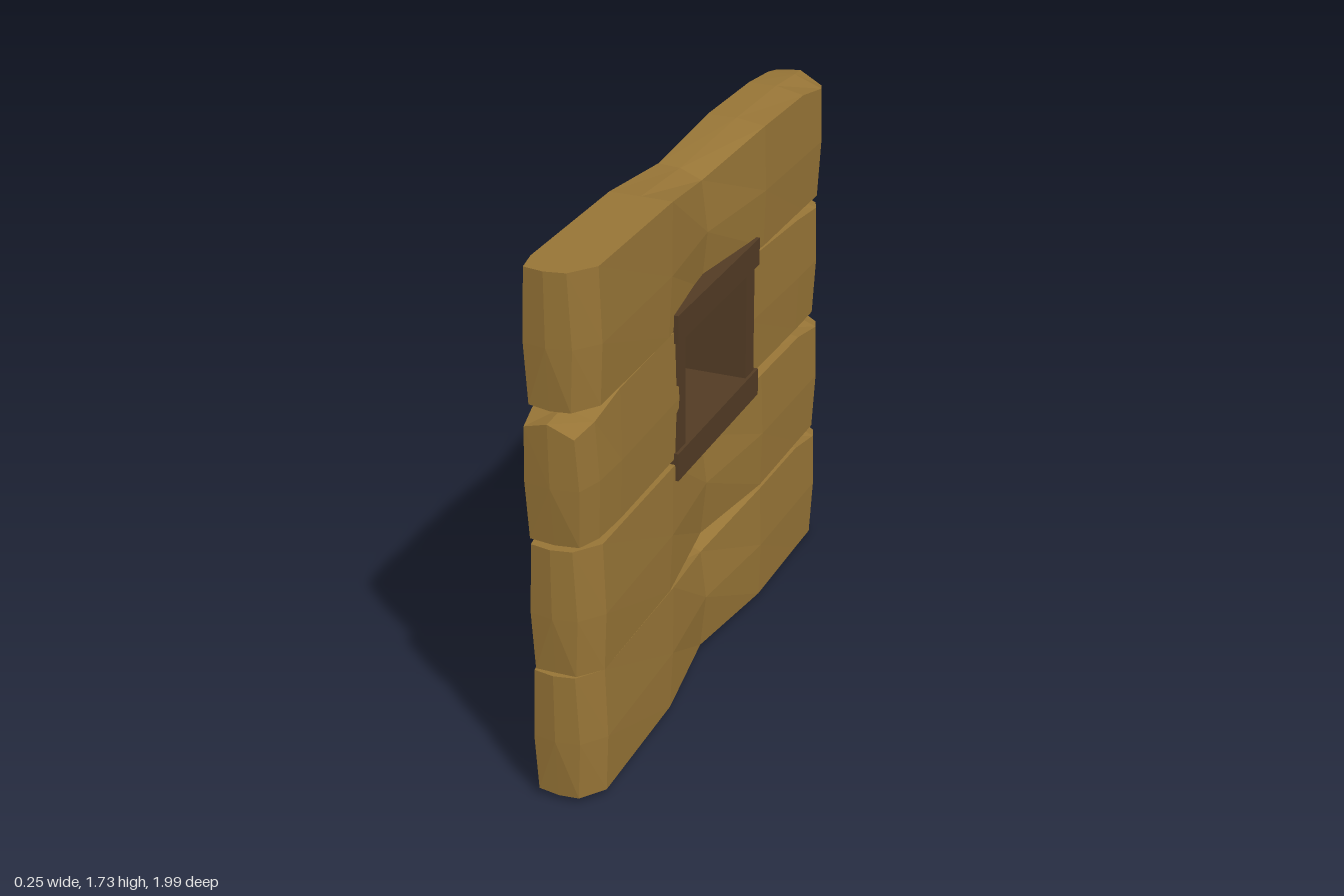
import * as THREE from 'three';

// Station: [zTop, zBottom, xLeft, xRight, topLeft, topMid, topRight, bottomLeft, bottomMid, bottomRight, bulge]
const LOG = [
  [0.96, 0.95, -0.075, 0.055, 0.45, 0.45, 0.45, 0.03, 0.02, 0.025, 0.01],
  [0.88, 0.88, -0.09, 0.115, 0.45, 0.45, 0.45, 0.03, 0.025, 0.03, 0.008],
  [0.35, 0.38, -0.09, 0.112, 0.45, 0.45, 0.448, 0.03, 0.027, 0.03, 0.004],
  [0, 0, -0.082, 0.06, 0.42, 0.415, 0.385, 0.03, 0.005, 0.035, 0.02],
  [-0.4, -0.4, -0.082, 0.112, 0.45, 0.45, 0.435, 0.03, 0.025, 0.03, 0.006],
  [-0.74, -0.75, -0.075, 0.115, 0.45, 0.45, 0.43, 0.03, 0.027, 0.03, 0.008],
  [-0.91, -0.89, -0.072, 0.117, 0.435, 0.438, 0.4, 0.03, 0.027, 0.03, 0.008],
  [-0.985, -0.965, -0.07, 0.09, 0.42, 0.425, 0.385, 0.035, 0.03, 0.035, 0.008],
];

// Halves of the plank interrupted by the window
const SHORT_FRONT = [
  [0.985, 0.965, -0.075, 0.08, 0.4, 0.425, 0.385, 0.035, 0.028, 0.035, 0.008],
  [0.9, 0.88, -0.088, 0.105, 0.42, 0.437, 0.41, 0.03, 0.025, 0.03, 0.008],
  [0.74, 0.75, -0.09, 0.112, 0.44, 0.45, 0.445, 0.03, 0.025, 0.03, 0.006],
  [0.3, 0.3, -0.09, 0.105, 0.448, 0.45, 0.448, 0.03, 0.025, 0.025, 0.006],
];
const SHORT_BACK = [
  [-0.31, -0.31, -0.082, 0.1, 0.45, 0.45, 0.44, 0.03, 0.025, 0.025, 0.006],
  [-0.72, -0.72, -0.08, 0.112, 0.445, 0.448, 0.425, 0.03, 0.025, 0.03, 0.008],
  [-0.9, -0.88, -0.075, 0.112, 0.43, 0.435, 0.405, 0.03, 0.027, 0.03, 0.008],
  [-0.97, -0.955, -0.07, 0.085, 0.415, 0.425, 0.395, 0.035, 0.03, 0.035, 0.008],
];

// Loft eight-sided sections along z, closing both ends with shallow points
function plankGeometry(stations) {
  const rings = stations.map(([zt, zb, l, r, tl, tm, tr, bl, bm, br, k]) => {
    const m = (l + r) / 2, zm = (zt + zb) / 2;
    return [
      [l, tl, zt], [m, tm, zt], [r, tr, zt], [r + k, 0.22, zm],
      [r, br, zb], [m, bm, zb], [l, bl, zb], [l - k, 0.22, zm],
    ];
  });
  // ridge of each outer end stands slightly proud
  const push = (ring) => {
    const s = Math.sign(ring[1][2]);
    ring[1][2] += s * (Math.abs(ring[1][2]) > 0.9 ? 0.012 : 0);
  };
  push(rings[0]);
  push(rings[rings.length - 1]);
  const out = [];
  const tri = (a, b, c) => out.push(...a, ...b, ...c);
  for (let i = 0; i < rings.length - 1; i++) {
    for (let j = 0; j < 8; j++) {
      const n = (j + 1) % 8;
      const a = rings[i][j], b = rings[i][n], c = rings[i + 1][n], d = rings[i + 1][j];
      tri(a, b, c);
      tri(a, c, d);
    }
  }
  const cap = (ring, dir) => {
    const z = (ring[1][2] + ring[5][2]) / 2 + dir * 0.008;
    const centre = [(ring[0][0] + ring[2][0]) / 2, 0.22, z];
    for (let j = 0; j < 8; j++) {
      const n = (j + 1) % 8;
      if (dir > 0) tri(centre, ring[n], ring[j]);
      else tri(centre, ring[j], ring[n]);
    }
  };
  cap(rings[0], 1);
  cap(rings[rings.length - 1], -1);
  const g = new THREE.BufferGeometry();
  g.setAttribute('position', new THREE.Float32BufferAttribute(out, 3));
  g.computeVertexNormals();
  return g;
}

export function createModel() {
  const model = new THREE.Group();
  model.name = 'plankWallWithWindow';
  const wood = new THREE.MeshStandardMaterial({ color: 0x967436, flatShading: true });
  wood.name = 'plank wood';
  const dark = new THREE.MeshStandardMaterial({ color: 0x523b24, flatShading: true });
  dark.name = 'dark frame wood';

  const add = (name, geometry, material, x, y, z, parent = model) => {
    const mesh = new THREE.Mesh(geometry, material);
    mesh.name = name;
    mesh.position.set(x, y, z);
    parent.add(mesh);
  };

  // Stacked planks
  const log = plankGeometry(LOG);
  [['bottomPlank', 0], ['lowerPlank', 0.42], ['topPlank', 1.28]].forEach(([name, y]) =>
    add(name, log, wood, 0, y, 0));
  add('windowPlankFront', plankGeometry(SHORT_FRONT), wood, 0, 0.857, 0);
  add('windowPlankBack', plankGeometry(SHORT_BACK), wood, 0, 0.857, 0);

  // Window frame: sill and lintel overlap the uprights
  const frame = new THREE.Group();
  frame.name = 'windowFrame';
  model.add(frame);
  const rail = new THREE.BoxGeometry(0.25, 0.092, 0.675);
  const post = new THREE.BoxGeometry(0.23, 0.42, 0.07);
  add('windowSill', rail, dark, -0.005, 0.856, -0.008, frame);
  add('windowLintel', rail, dark, -0.005, 1.314, -0.008, frame);
  add('windowPostFront', post, dark, -0.005, 1.085, 0.285, frame);
  add('windowPostBack', post, dark, -0.005, 1.085, -0.293, frame);
  return model;
}
